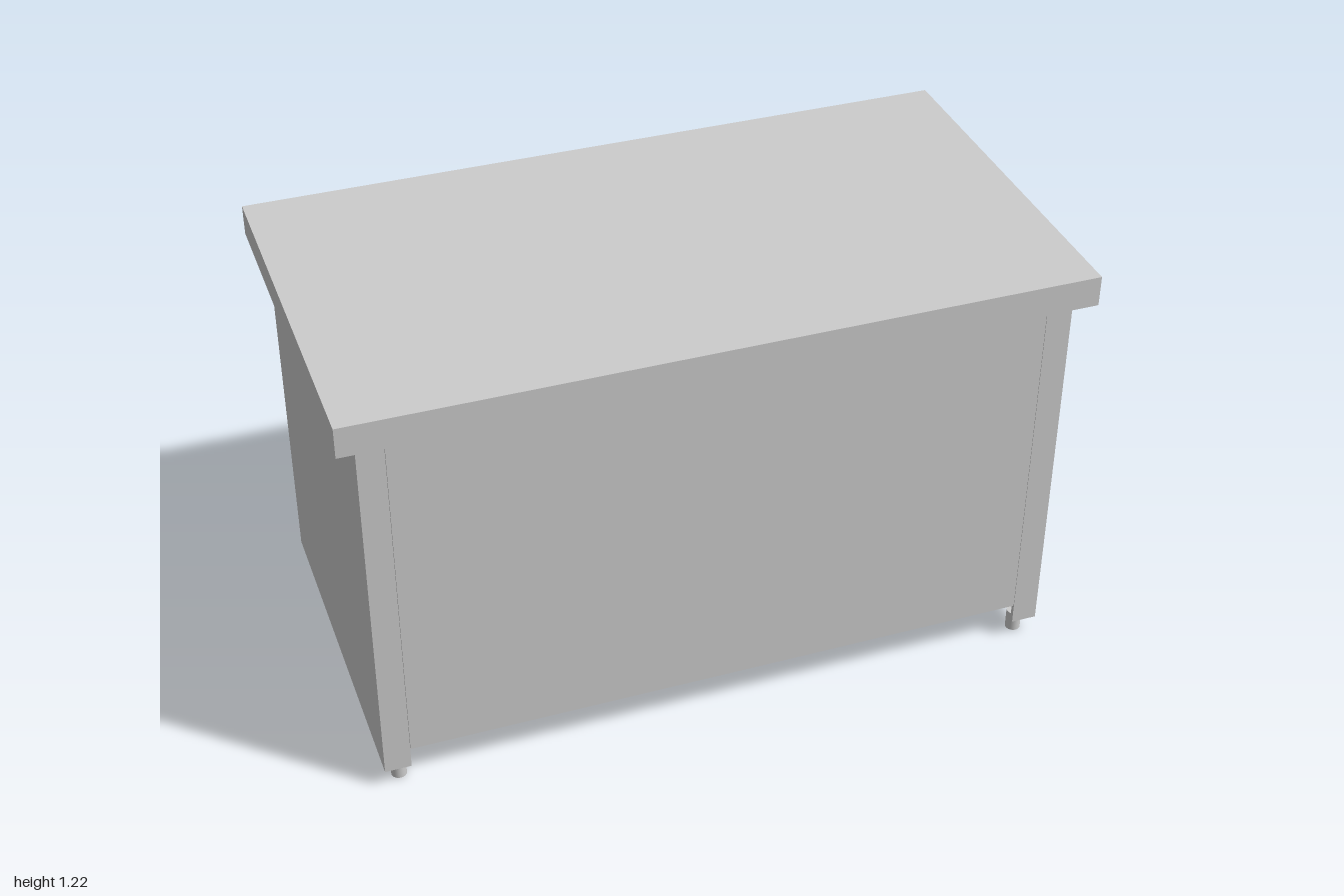
import * as THREE from 'three';

const material = new THREE.MeshStandardMaterial({ color: 0xcccccc });

// Box given by its limits on each axis
function box(name, [x0, x1], [y0, y1], [z0, z1]) {
  const mesh = new THREE.Mesh(new THREE.BoxGeometry(x1 - x0, y1 - y0, z1 - z0), material);
  mesh.position.set((x0 + x1) / 2, (y0 + y1) / 2, (z0 + z1) / 2);
  mesh.name = name;
  return mesh;
}

// Same box on the model's left (+x) or right (-x)
function sideBox(name, side, [x0, x1], y, z) {
  return box(name, side > 0 ? [x0, x1] : [-x1, -x0], y, z);
}

function cylinder(name, radius, length, x, y, z) {
  const mesh = new THREE.Mesh(new THREE.CylinderGeometry(radius, radius, length, 24), material);
  mesh.position.set(x, y, z);
  mesh.name = name;
  return mesh;
}

export function createModel() {
  const model = new THREE.Group();
  model.name = 'counter';
  const back = -0.54, front = 0.54, bodyFront = 0.49, sheet = 0.012;

  // Worktop: plate with folded rims, open at the back
  const worktop = new THREE.Group();
  worktop.name = 'worktop';
  worktop.add(
    box('topPlate', [-1, 1], [1.2, 1.215], [back, front]),
    box('frontRim', [-1, 1], [1.13, 1.2], [front - sheet, front]),
    box('frontRimFlange', [-1 + sheet, 1 - sheet], [1.13, 1.13 + sheet], [bodyFront - 0.01, front - sheet])
  );
  for (const side of [1, -1]) {
    worktop.add(
      sideBox('sideRim', side, [1 - sheet, 1], [1.13, 1.2], [back, front - sheet]),
      sideBox('sideRimFlange', side, [0.94, 1 - sheet], [1.13, 1.13 + sheet], [back, bodyFront - 0.01])
    );
  }
  model.add(worktop);

  // Body, set very slightly towards the left
  const body = new THREE.Group();
  body.name = 'body';
  body.position.x = 0.005;
  body.add(
    box('shelf', [-0.938, 0.938], [0.115, 0.21], [back + 0.005, 0.25]),
    box('frontCompartment', [-0.938, 0.938], [0.115, 1.2], [0.25, bodyFront - sheet]),
    box('frontPanel', [-0.877, 0.877], [0.115, 1.13], [bodyFront - sheet, bodyFront])
  );
  for (const side of [1, -1]) {
    // Side sheet folded round the front corner
    body.add(
      sideBox('sidePanel', side, [0.938, 0.95], [0.055, 1.13], [back, bodyFront]),
      sideBox('frontFlange', side, [0.878, 0.938], [0.055, 1.13], [bodyFront - sheet, bodyFront])
    );
    body.add(cylinder('foot', 0.021, 0.06, side * 0.905, 0.03, 0.447));

    // Tube under the worktop, running front to back
    const tube = cylinder('supportTube', 0.021, 0.82, side * 0.916, 1.174, -0.125);
    tube.rotation.x = Math.PI / 2;
    body.add(tube);
  }
  model.add(body);
  return model;
}
